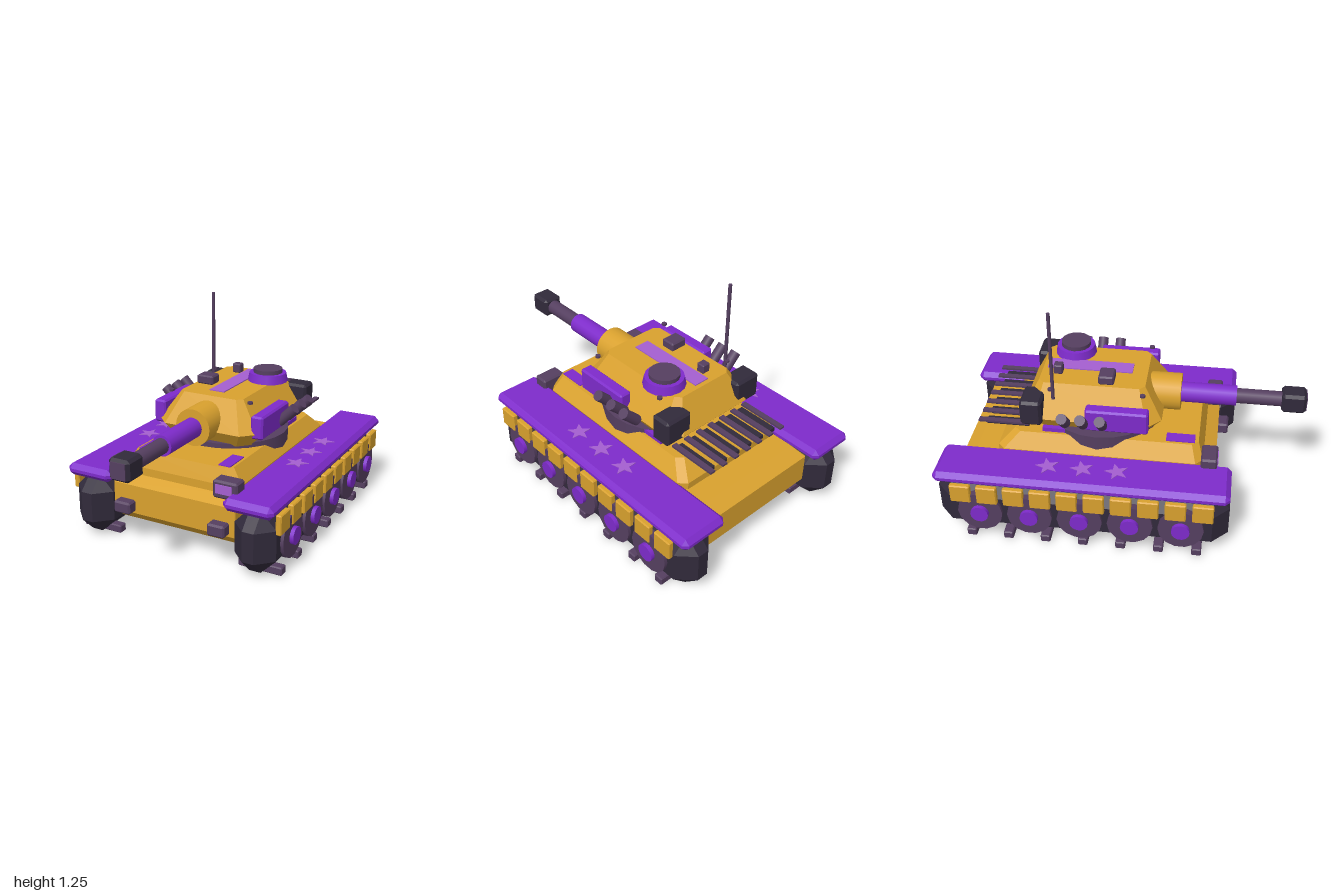
import * as THREE from 'three';
import { ConvexGeometry } from 'three/addons/geometries/ConvexGeometry.js';

export function createModel() {
  const root = new THREE.Group();
  root.name = 'tank';

  const paint = (name, color) => {
    const m = new THREE.MeshStandardMaterial({ color });
    m.name = name;
    return m;
  };
  const yellow = paint('mustard yellow', 0xd9a12e);
  const purple = paint('purple', 0x7e2bcb);
  const lilac = paint('lilac', 0xa45fd0);
  const mauve = paint('dark mauve', 0x553f60);
  const dark = paint('near black', 0x312a3b);

  const add = (name, geo, mat, x = 0, y = 0, z = 0) => {
    const mesh = new THREE.Mesh(geo, mat);
    mesh.name = name;
    mesh.position.set(x, y, z);
    root.add(mesh);
    return mesh;
  };

  // Box with all edges cut by c
  const chamferBox = (w, h, d, c) => {
    const pts = [];
    const [a, b, e] = [w / 2, h / 2, d / 2];
    for (const i of [-1, 1]) for (const j of [-1, 1]) for (const k of [-1, 1]) {
      pts.push(new THREE.Vector3(i * a, j * (b - c), k * (e - c)));
      pts.push(new THREE.Vector3(i * (a - c), j * b, k * (e - c)));
      pts.push(new THREE.Vector3(i * (a - c), j * (b - c), k * e));
    }
    return new ConvexGeometry(pts);
  };

  // Box given by its min and max corners
  const span = (name, mat, x0, x1, y0, y1, z0, z1, c = 0) => {
    const [w, h, d] = [x1 - x0, y1 - y0, z1 - z0];
    const geo = c ? chamferBox(w, h, d, c) : new THREE.BoxGeometry(w, h, d);
    return add(name, geo, mat, (x0 + x1) / 2, (y0 + y1) / 2, (z0 + z1) / 2);
  };
  const spanPair = (name, mat, x0, x1, ...rest) => {
    span(name + 'Left', mat, x0, x1, ...rest);
    span(name + 'Right', mat, -x1, -x0, ...rest);
  };

  // Armour shell from stacked eight-sided outlines: [y, halfWidth, zBack, zFront, cornerCut]
  const shell = (rings) => {
    const pts = [];
    for (const [y, x, z0, z1, c] of rings) for (const s of [-1, 1]) {
      pts.push(new THREE.Vector3(s * x, y, z0 + c), new THREE.Vector3(s * x, y, z1 - c));
      pts.push(new THREE.Vector3(s * (x - c), y, z0), new THREE.Vector3(s * (x - c), y, z1));
    }
    return new ConvexGeometry(pts);
  };

  // Cylinder along z from z0 to z1
  const rodZ = (name, mat, r, z0, z1, sides) =>
    add(name, new THREE.CylinderGeometry(r, r, z1 - z0, sides).rotateX(Math.PI / 2), mat, 0, 0.655, (z0 + z1) / 2);

  // Hull
  add('lowerHull', shell([
    [0.115, 0.38, -0.84, 0.45, 0.005], [0.18, 0.38, -0.91, 0.52, 0.005],
    [0.345, 0.38, -0.91, 0.52, 0.005], [0.39, 0.345, -0.83, 0.44, 0.005],
  ]), yellow);
  add('upperHull', shell([
    [0.38, 0.36, -0.7, 0.45, 0.04], [0.43, 0.36, -0.7, 0.45, 0.04], [0.515, 0.3, -0.61, 0.42, 0.035],
  ]), yellow);
  spanPair('deckPanel', purple, 0.215, 0.285, 0.513, 0.52, 0.24, 0.4);
  spanPair('deckBlock', purple, 0.215, 0.285, 0.515, 0.54, -0.45, -0.31);

  // Lamps
  spanPair('headlight', mauve, 0.25, 0.395, 0.39, 0.49, 0.44, 0.53, 0.01);
  spanPair('headlightLens', lilac, 0.27, 0.365, 0.42, 0.47, 0.526, 0.535);
  spanPair('lowerLamp', mauve, 0.24, 0.345, 0.19, 0.26, 0.5, 0.58, 0.01);

  // Engine grille
  for (let i = 0; i < 7; i++) {
    const x = (i - 3) * 0.088;
    span('grilleBar', mauve, x - 0.016, x + 0.016, 0.545, 0.557, -0.815, -0.53);
  }
  for (let i = 0; i < 6; i++) {
    const x = (i - 2.5) * 0.092;
    span('grilleSlat', dark, x - 0.02, x + 0.02, 0.515, 0.538, -0.775, -0.535);
  }

  // Five-pointed badge shape
  const star = new THREE.Shape();
  for (let i = 0; i < 10; i++) {
    const r = i % 2 ? 0.028 : 0.068;
    const a = Math.PI / 2 + i * Math.PI / 5;
    star[i ? 'lineTo' : 'moveTo'](r * Math.cos(a), r * Math.sin(a));
  }
  const starGeo = new THREE.ExtrudeGeometry(star, { depth: 0.006, bevelEnabled: false }).rotateX(-Math.PI / 2);

  // Running gear and fenders
  spanPair('track', dark, 0.38, 0.62, 0.025, 0.37, -1, 0.615, 0.087);
  spanPair('fender', purple, 0.345, 0.63, 0.365, 0.435, -1, 0.612, 0.026);
  for (let i = 0; i < 7; i++) {
    const z = 0.45 - i * 0.21;
    spanPair('trackCleat', mauve, 0.377, 0.63, 0.003, 0.05, z - 0.027, z + 0.027, 0.006);
  }
  for (let i = 0; i < 10; i++) {
    const z = 0.475 - i * 0.1467;
    spanPair('skirtPlate', yellow, 0.612, 0.645, 0.26, 0.373, z - 0.057, z + 0.057, 0.006);
  }
  const wheelGeo = new THREE.CylinderGeometry(0.125, 0.125, 0.04, 14).rotateZ(Math.PI / 2);
  const hubGeo = new THREE.CylinderGeometry(0.05, 0.05, 0.05, 14).rotateZ(Math.PI / 2);
  const tubeGeo = new THREE.CylinderGeometry(0.03, 0.03, 0.13, 12);
  const boltGeo = new THREE.CylinderGeometry(0.015, 0.015, 0.012, 8);
  for (const s of [1, -1]) {
    for (let i = 0; i < 5; i++) {
      const z = 0.36 - i * 0.276;
      add('wheel', wheelGeo, mauve, s * 0.618, 0.195, z);
      add('wheelHub', hubGeo, purple, s * 0.635, 0.195, z);
    }
    for (const z of [-0.385, -0.195, -0.005]) add('fenderStar', starGeo, lilac, s * 0.487, 0.433, z);
    // Smoke launchers lean outward
    for (const z of [-0.105, -0.21, -0.31]) {
      add('smokeLauncher', tubeGeo, mauve, s * 0.377, 0.668, z).rotation.z = -s * Math.PI / 4;
    }
    for (const z of [-0.4, 0.105]) add('turretBolt', boltGeo, mauve, s * 0.25, 0.78, z);
  }

  // Turret
  add('turretRing', new THREE.CylinderGeometry(0.34, 0.34, 0.085, 24), mauve, 0, 0.5, -0.14);
  add('turret', shell([
    [0.53, 0.25, -0.5, 0.15, 0.06], [0.615, 0.31, -0.57, 0.21, 0.075], [0.785, 0.195, -0.48, 0.11, 0.03],
  ]), yellow);
  spanPair('turretSideBox', purple, 0.272, 0.345, 0.588, 0.72, -0.2, 0.145, 0.01);
  spanPair('turretRearBox', dark, 0.17, 0.342, 0.59, 0.742, -0.56, -0.44, 0.014);
  span('turretStripe', lilac, -0.048, 0.045, 0.783, 0.791, -0.455, -0.025 + 0.0);
  span('turretStripeFront', lilac, -0.048, 0.045, 0.783, 0.791, -0.025, 0.025);
  span('sightBox', mauve, -0.182, -0.078, 0.784, 0.837, -0.148, -0.062, 0.008);
  span('periscope', mauve, -0.108, -0.055, 0.784, 0.84, -0.41, -0.36, 0.006);
  add('hatchRing', new THREE.CylinderGeometry(0.108, 0.118, 0.05, 16), purple, 0.148, 0.808, -0.325);
  add('hatchLid', new THREE.CylinderGeometry(0.085, 0.085, 0.03, 16), mauve, 0.148, 0.842, -0.325);
  add('antenna', new THREE.CylinderGeometry(0.01, 0.01, 0.535, 8), mauve, -0.252, 0.988, -0.387);

  // Gun
  rodZ('mantlet', yellow, 0.105, 0.02, 0.3, 24);
  rodZ('barrelSleeve', purple, 0.058, 0.28, 0.61, 16);
  rodZ('barrel', mauve, 0.043, 0.58, 0.9, 16);
  span('muzzle', dark, -0.06, 0.06, 0.598, 0.715, 0.86, 0.996, 0.016);
  span('muzzleFace', mauve, -0.043, 0.043, 0.613, 0.7, 0.992, 1);

  return root;
}
